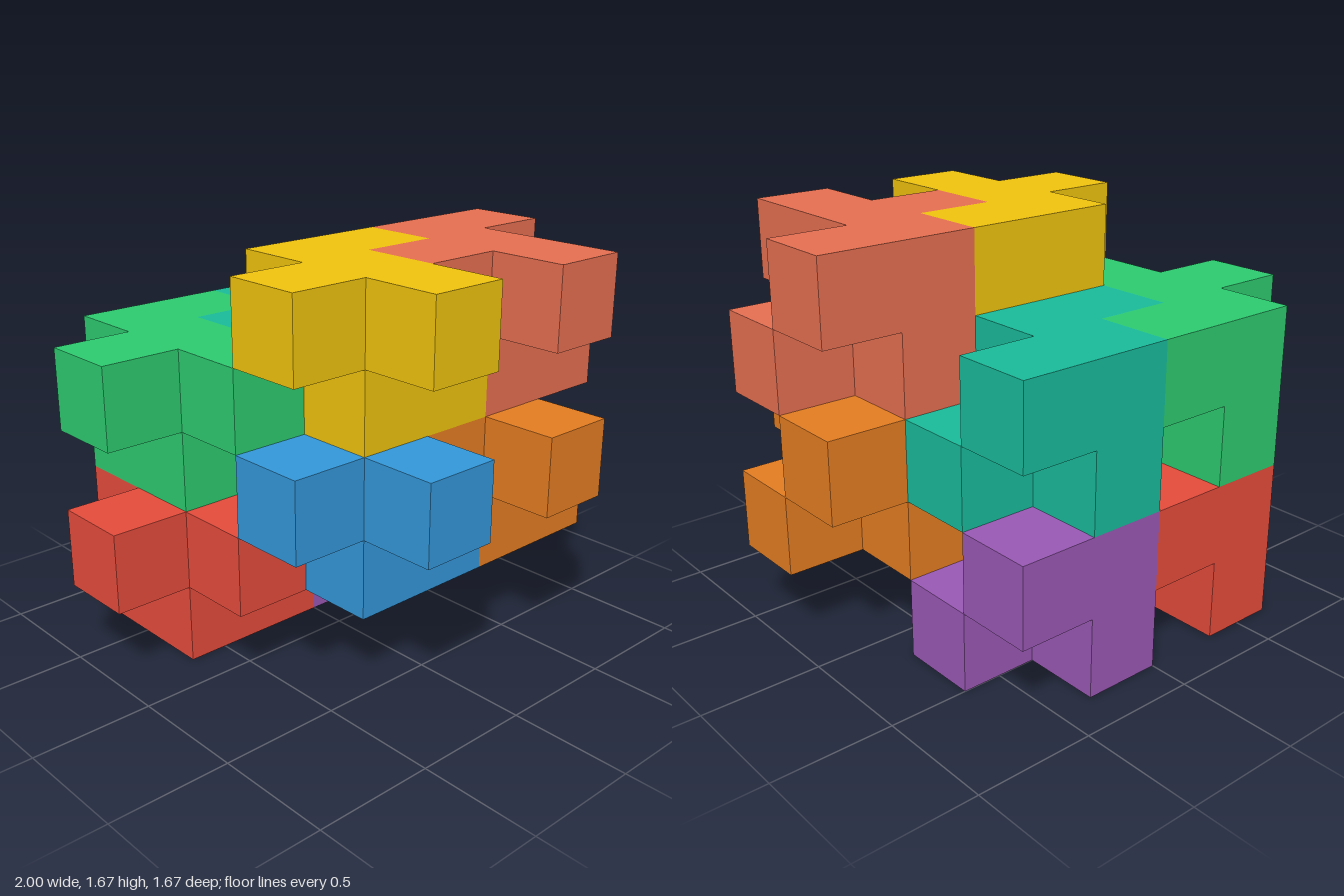
import * as THREE from 'three';
import { mergeGeometries } from 'three/addons/utils/BufferGeometryUtils.js';

const U = 1 / 3; // edge of one cube cell

// Cells (x, y, z) of the repeated block: F-shaped upper layer, L-shaped lower layer
const CELLS = [
  [1, 1, 0], [2, 1, 0], [0, 1, 1], [1, 1, 1], [1, 1, 2],
  [1, 0, 0], [1, 0, 1], [2, 0, 1],
];

const SIDES = [[1, 0, 0], [-1, 0, 0], [0, 1, 0], [0, -1, 0], [0, 0, 1], [0, 0, -1]];

// Outer skin of the block: one square wherever a cell has no neighbour
function blockGeometry() {
  const filled = new Set(CELLS.map(String));
  const front = new THREE.Vector3(0, 0, 1);
  const faces = [];
  for (const [x, y, z] of CELLS) {
    for (const [dx, dy, dz] of SIDES) {
      if (filled.has(String([x + dx, y + dy, z + dz]))) continue;
      const face = new THREE.PlaneGeometry(U, U);
      const turn = new THREE.Quaternion().setFromUnitVectors(front, new THREE.Vector3(dx, dy, dz));
      face.applyQuaternion(turn);
      face.translate((x + 0.5 + dx / 2) * U, (y + 0.5 + dy / 2) * U, (z + 0.5 + dz / 2) * U);
      faces.push(face);
    }
  }
  return mergeGeometries(faces);
}

// Interlocking copies: name, colour, cell offset
const BLOCKS = [
  ['lowerBackRightBlock', 0xe74c3c, [0, 0, 0]],
  ['lowerBackLeftBlock', 0x9b59b6, [2, 0, 0]],
  ['lowerFrontRightBlock', 0x3498db, [1, 1, 2]],
  ['lowerFrontLeftBlock', 0xe67e22, [3, 1, 2]],
  ['upperBackRightBlock', 0x2ecc71, [0, 2, 0]],
  ['upperBackLeftBlock', 0x1abc9c, [2, 2, 0]],
  ['upperFrontRightBlock', 0xf1c40f, [1, 3, 2]],
  ['upperFrontLeftBlock', 0xe76f51, [3, 3, 2]],
];

export function createModel() {
  const model = new THREE.Group();
  model.name = 'interlockingBlocks';
  const geometry = blockGeometry();
  for (const [name, color, [x, y, z]] of BLOCKS) {
    const block = new THREE.Mesh(geometry, new THREE.MeshStandardMaterial({ color }));
    block.name = name;
    block.position.set((x - 3) * U, y * U, (z - 2.5) * U);
    model.add(block);
  }
  return model;
}
